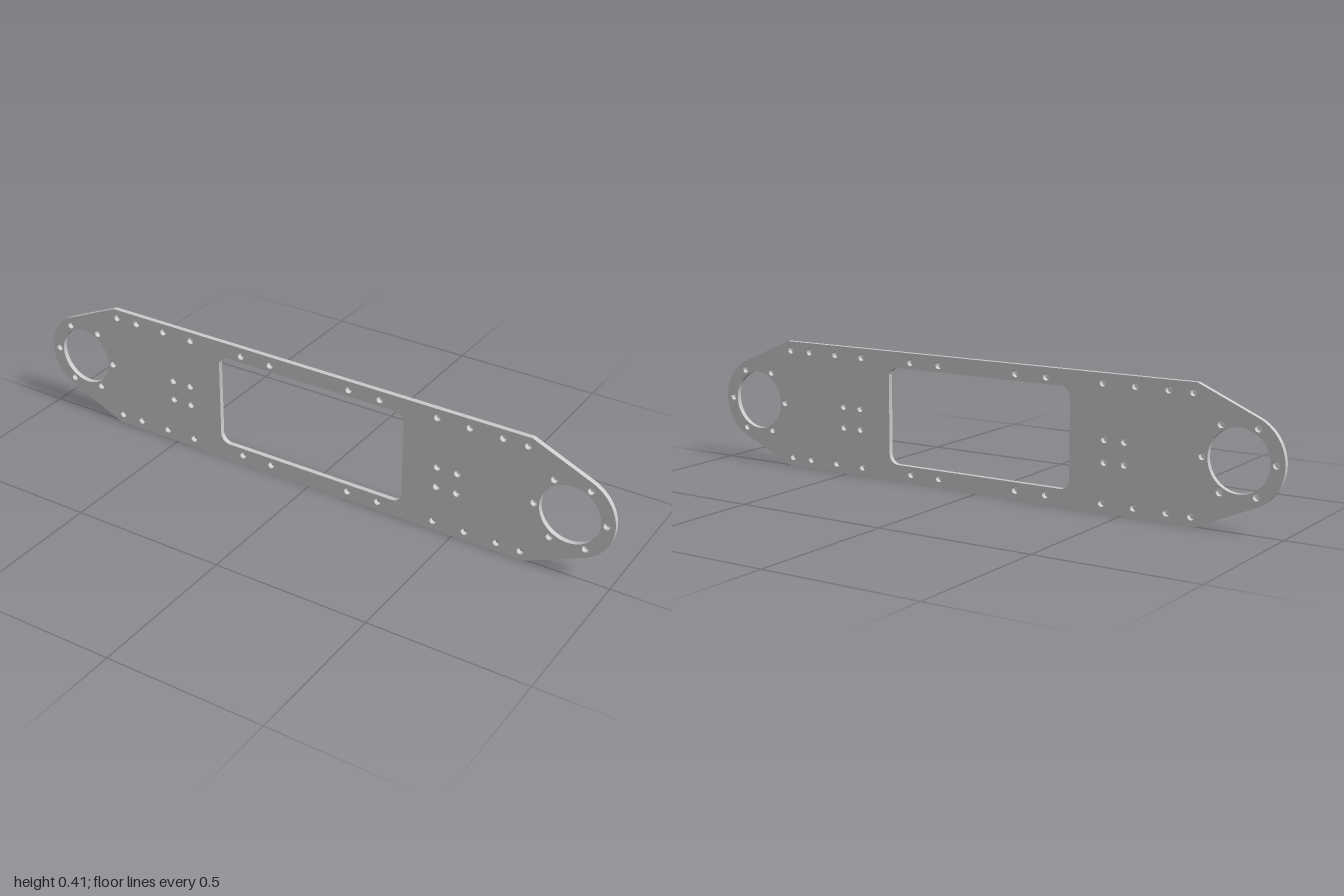
import * as THREE from 'three';
import { toCreasedNormals } from 'three/addons/utils/BufferGeometryUtils.js';

const HEIGHT = 0.413, MID = HEIGHT / 2, DEPTH = 0.016;
const END_X = 0.863, END_R = 0.137, BORE_R = 0.094;
const CORNER_X = 0.733, BOLT_R = 0.0105;

function circle(x, y, r) {
  return new THREE.Path().absarc(x, y, r, 0, Math.PI * 2, true);
}

// Rounded rectangle centred on (x, y)
function roundedWindow(x, y, hw, hh, r) {
  const p = new THREE.Path();
  p.absarc(x + hw - r, y + hh - r, r, 0, Math.PI / 2);
  p.absarc(x - hw + r, y + hh - r, r, Math.PI / 2, Math.PI);
  p.absarc(x - hw + r, y - hh + r, r, Math.PI, Math.PI * 1.5);
  p.absarc(x + hw - r, y - hh + r, r, Math.PI * 1.5, Math.PI * 2);
  p.closePath();
  return p;
}

export function createModel() {
  const group = new THREE.Group();
  group.name = 'mountingPlate';

  // Outline: straight edges tapering tangentially into round ends
  const dx = END_X - CORNER_X;
  const tangent = Math.PI - Math.atan2(MID, dx)
    - Math.acos(END_R / Math.hypot(dx, MID));
  const shape = new THREE.Shape();
  shape.moveTo(-CORNER_X, 0);
  shape.lineTo(CORNER_X, 0);
  shape.absarc(END_X, MID, END_R, -tangent, tangent);
  shape.lineTo(CORNER_X, HEIGHT);
  shape.lineTo(-CORNER_X, HEIGHT);
  shape.absarc(-END_X, MID, END_R, Math.PI - tangent, Math.PI + tangent);
  shape.closePath();

  // Central window
  shape.holes.push(roundedWindow(0, MID + 0.002, 0.327, 0.154, 0.032));

  for (const side of [-1, 1]) {
    // Large end bore with its ring of six bolt holes
    shape.holes.push(circle(side * END_X, MID, BORE_R));
    for (let i = 0; i < 6; i++) {
      const a = i * Math.PI / 3;
      shape.holes.push(circle(side * END_X + 0.111 * Math.cos(a), MID + 0.111 * Math.sin(a), BOLT_R));
    }
    // Bolt rows along the top and bottom edges
    for (const x of [0.139, 0.245, 0.435, 0.54, 0.645, 0.722])
      for (const y of [MID - 0.177, MID + 0.177])
        shape.holes.push(circle(side * x, y, BOLT_R));
    // Square group of four holes beside the window
    for (const x of [0.442, 0.508])
      for (const y of [0.152, 0.219])
        shape.holes.push(circle(side * x, y, BOLT_R));
  }

  const solid = new THREE.ExtrudeGeometry(shape, { depth: DEPTH, bevelEnabled: false, curveSegments: 32 });
  solid.translate(0, 0, -DEPTH / 2);
  const plate = new THREE.Mesh(
    toCreasedNormals(solid, 0.4),
    new THREE.MeshStandardMaterial({ color: 0xcccccc })
  );
  plate.name = 'plate';
  group.add(plate);
  return group;
}
